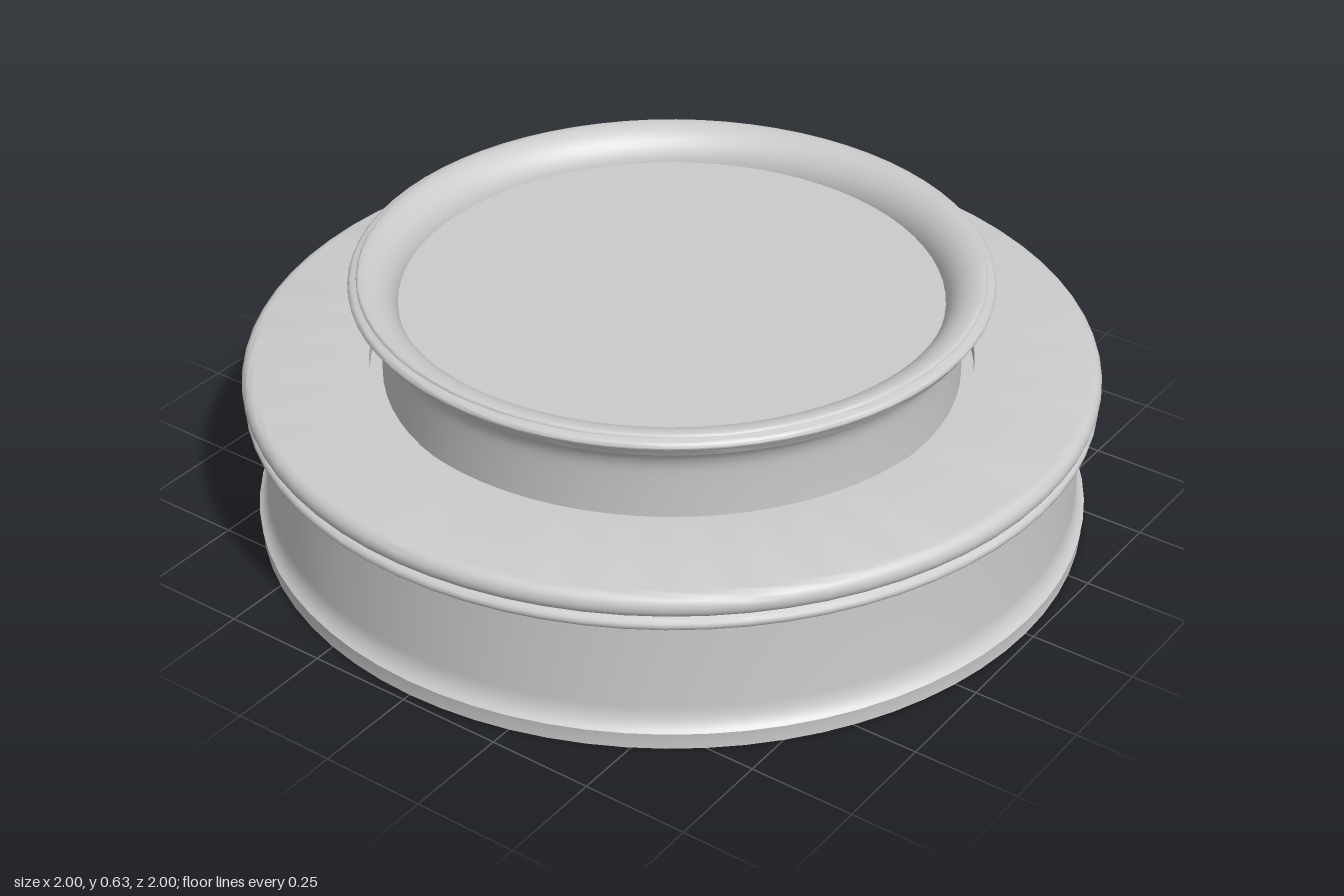
import * as THREE from 'three';
import { toCreasedNormals } from 'three/addons/utils/BufferGeometryUtils.js';

const SEGMENTS = 72;
const material = new THREE.MeshStandardMaterial({ color: 0xcccccc, side: THREE.DoubleSide });

// Revolve a [radius, height] profile, keeping hard edges crisp.
function turned(name, profile) {
  const points = profile.map(([r, y]) => new THREE.Vector2(r, y));
  const geometry = toCreasedNormals(new THREE.LatheGeometry(points, SEGMENTS), 0.65);
  const mesh = new THREE.Mesh(geometry, material);
  mesh.name = name;
  return mesh;
}

// Points on an elliptical arc; angles in degrees.
function arc(r, y, rx, ry, from, to, steps = 8) {
  return Array.from({ length: steps + 1 }, (_, i) => {
    const a = THREE.MathUtils.degToRad(from + ((to - from) * i) / steps);
    return [r + rx * Math.cos(a), y + ry * Math.sin(a)];
  });
}

export function createModel() {
  const model = new THREE.Group();
  model.name = 'flangedRing';

  // Outer body: flat foot, waisted wall, thin bead and rounded rim
  model.add(turned('outerBody', [
    [0.67, 0], [0.98, 0], [0.98, 0.02],
    ...arc(1.0, 0.095, 0.04, 0.06, 245, 180, 6),
    [0.96, 0.32],
    ...arc(0.982, 0.334, 0.014, 0.014, -90, 90, 6),
    [0.978, 0.35],
    ...arc(0.97, 0.38, 0.03, 0.03, -75, 90, 10),
    [0.705, 0.41], [0.705, 0.375], [0.675, 0.375],
  ]));

  // Hollow underside: rounded cavity reaching from the foot to the neck
  model.add(turned('innerCavity', [
    [0.65, 0.36], [0.705, 0.36],
    ...arc(0.78, 0.21, 0.15, 0.15, 90, 0, 12),
    [0.93, 0.02], [0.67, 0],
  ]));

  // Neck: straight collar flaring out to a rolled lip, open down the middle
  model.add(turned('neck', [
    [0.675, 0.36], [0.675, 0.47],
    ...arc(0.745, 0.5, 0.068, 0.085, 180, 105, 8),
    [0.735, 0.597],
    ...arc(0.732, 0.61, 0.012, 0.011, -70, 80, 6),
    [0.724, 0.622],
    ...arc(0.716, 0.622, 0.008, 0.008, 0, 90, 4),
    ...arc(0.716, 0.54, 0.086, 0.09, 90, 180, 10),
    [0.63, 0.53], [0.65, 0.52], [0.65, 0.36],
  ]));

  // Recessed disc closing the neck
  const disc = new THREE.Mesh(new THREE.CylinderGeometry(0.635, 0.635, 0.015, SEGMENTS), material);
  disc.name = 'recessedDisc';
  disc.position.y = 0.5475;
  model.add(disc);

  return model;
}
